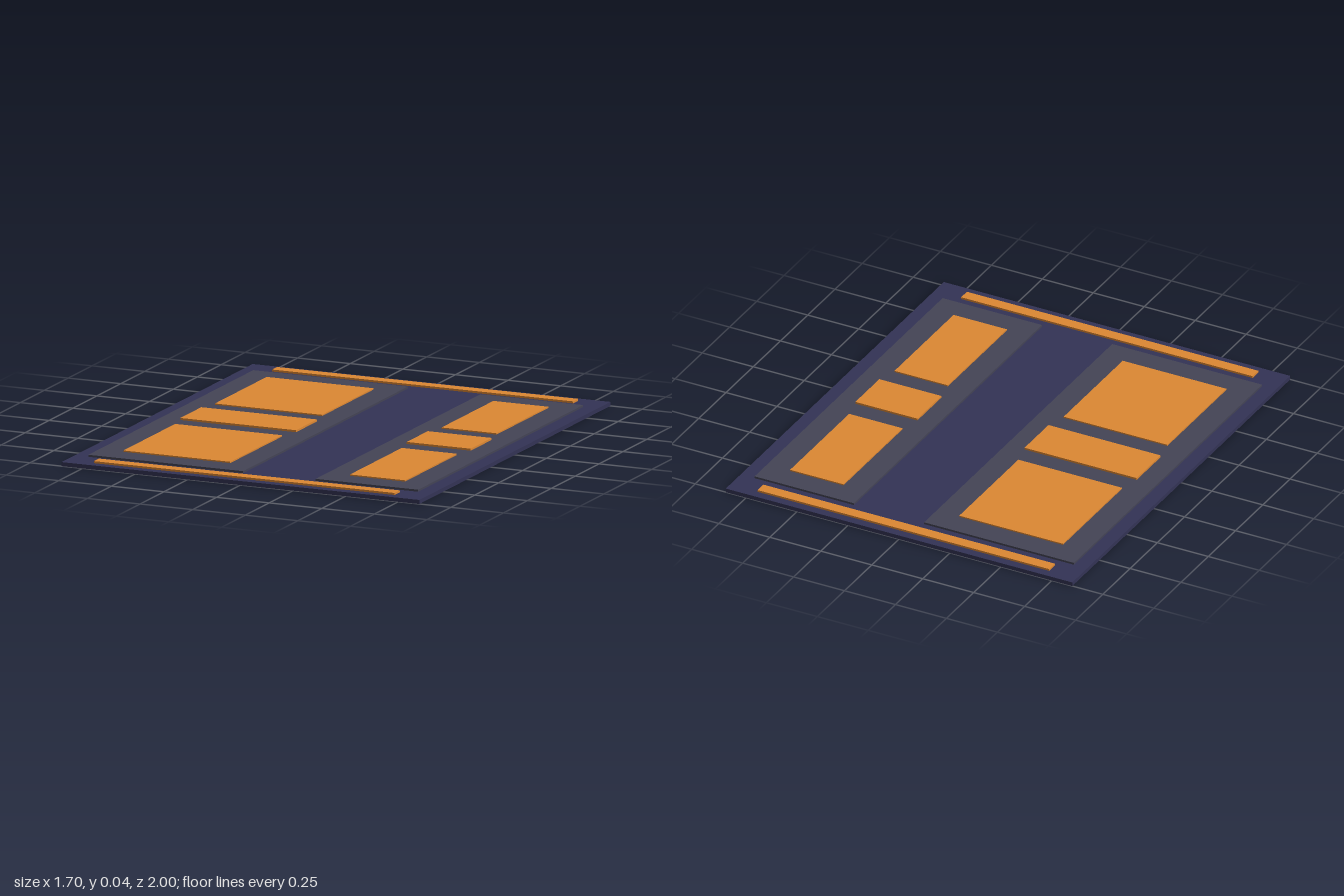
import * as THREE from 'three';

const navy = new THREE.MeshStandardMaterial({ color: 0x333355 });
const slate = new THREE.MeshStandardMaterial({ color: 0x444455 });
const orange = new THREE.MeshStandardMaterial({ color: 0xdd8833 });

// Flat slab given by its x, y and z ranges
function slab(name, material, [x0, x1], [y0, y1], [z0, z1]) {
  const mesh = new THREE.Mesh(new THREE.BoxGeometry(x1 - x0, y1 - y0, z1 - z0), material);
  mesh.name = name;
  mesh.position.set((x0 + x1) / 2, (y0 + y1) / 2, (z0 + z1) / 2);
  return mesh;
}

export function createModel() {
  const model = new THREE.Group();
  model.name = 'panelBoard';

  // Base sheet
  model.add(slab('base', navy, [-0.85, 0.85], [0, 0.018], [-1, 1]));

  // Wide and narrow panels, each with two large pads and a centre bar
  const columns = [
    { side: 'right', panel: [-0.785, -0.05], pad: [-0.67, -0.162], bar: [-0.69, -0.14] },
    { side: 'left', panel: [0.295, 0.782], pad: [0.407, 0.668], bar: [0.386, 0.69] },
  ];
  for (const { side, panel, pad, bar } of columns) {
    const column = new THREE.Group();
    column.name = `${side}Column`;
    column.add(slab(`${side}Panel`, slate, panel, [0.016, 0.027], [-0.863, 0.863]));
    column.add(slab(`${side}BackPad`, orange, pad, [0.025, 0.033], [-0.75, -0.208]));
    column.add(slab(`${side}FrontPad`, orange, pad, [0.025, 0.033], [0.208, 0.75]));
    column.add(slab(`${side}CentreBar`, orange, bar, [0.025, 0.036], [-0.11, 0.11]));
    model.add(column);
  }

  // Long strips along the front and back edges
  model.add(slab('frontStrip', orange, [-0.715, 0.715], [0.016, 0.027], [0.907, 0.96]));
  model.add(slab('backStrip', orange, [-0.715, 0.715], [0.016, 0.027], [-0.96, -0.907]));

  return model;
}
